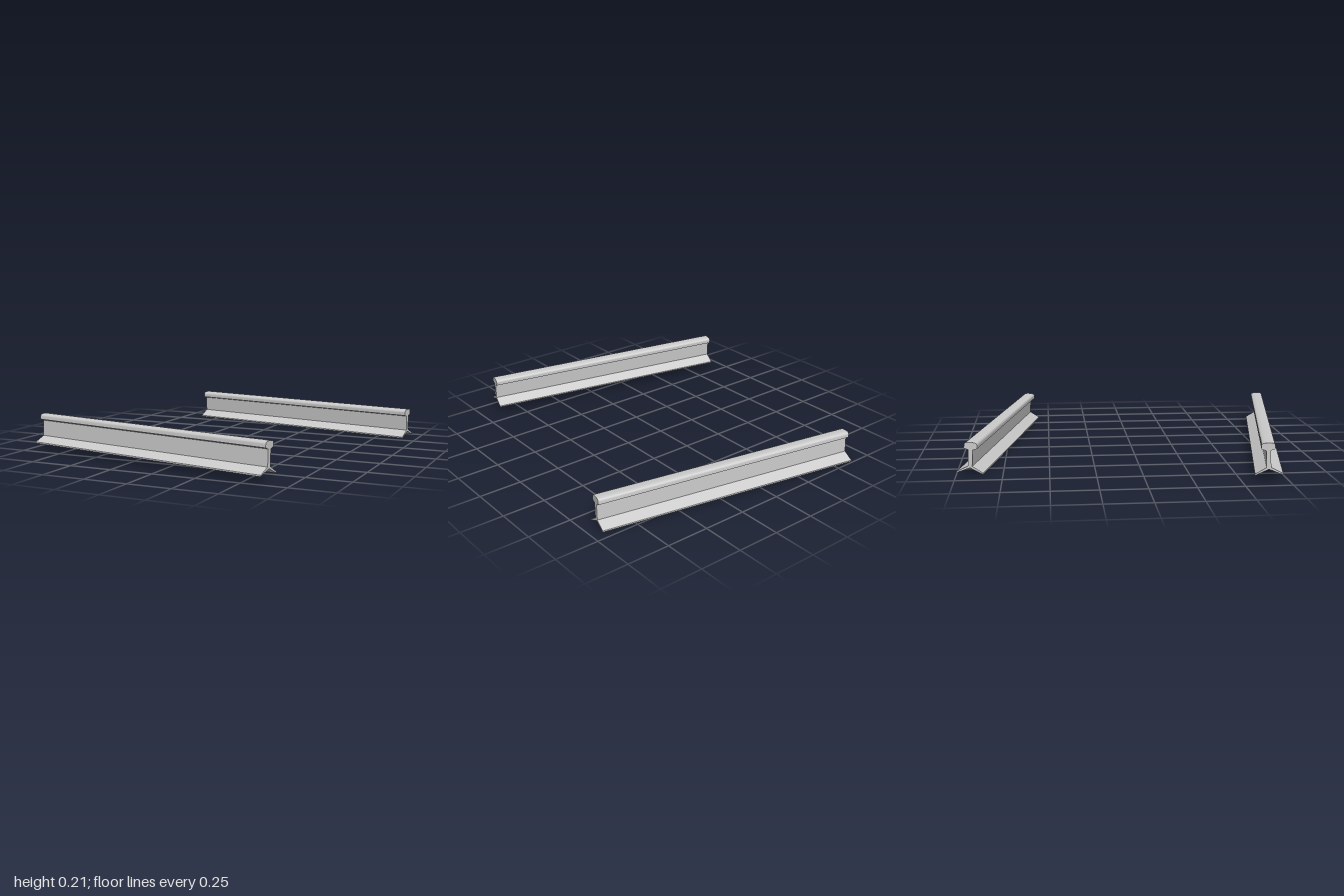
import * as THREE from 'three';
import { toCreasedNormals } from 'three/addons/utils/BufferGeometryUtils.js';

const LENGTH = 1.577;
const HEADING = THREE.MathUtils.degToRad(-10.6);
const CANT = THREE.MathUtils.degToRad(3);
const FOOT = 0.073; // half width of the foot

// Rail cross-section: rounded head, thin web, two thin sloping foot wings
function railProfile() {
  const s = new THREE.Shape();
  s.moveTo(0, 0.032);
  s.lineTo(FOOT, 0);
  s.lineTo(FOOT, 0.008);
  s.lineTo(0.012, 0.041);
  s.lineTo(0.012, 0.131);
  s.lineTo(0.036, 0.139);
  s.lineTo(0.036, 0.157);
  s.quadraticCurveTo(0.035, 0.169, 0.021, 0.171);
  s.quadraticCurveTo(0, 0.174, -0.021, 0.171);
  s.quadraticCurveTo(-0.035, 0.169, -0.036, 0.157);
  s.lineTo(-0.036, 0.139);
  s.lineTo(-0.012, 0.131);
  s.lineTo(-0.012, 0.041);
  s.lineTo(-FOOT, 0.008);
  s.lineTo(-FOOT, 0);
  s.closePath();
  return s;
}

export function createModel() {
  const model = new THREE.Group();
  model.name = 'railPair';
  const material = new THREE.MeshStandardMaterial({ color: 0xcccccc });

  // Extruded along x, centred
  const swept = new THREE.ExtrudeGeometry(railProfile(), {
    depth: LENGTH, bevelEnabled: false, curveSegments: 6,
  });
  swept.translate(0, 0, -LENGTH / 2);
  swept.rotateY(Math.PI / 2);
  const geometry = toCreasedNormals(swept, 0.5);

  // Two staggered rails leaning towards each other, the front one raised
  for (const [name, side, lift] of [['frontRail', 1, 0.033], ['rearRail', -1, 0]]) {
    const rail = new THREE.Mesh(geometry, material);
    rail.name = name;
    rail.rotation.set(-side * CANT, HEADING, 0, 'YXZ');
    rail.position.set(-side * 0.153, lift + FOOT * Math.sin(CANT), side * 0.783);
    model.add(rail);
  }
  return model;
}
